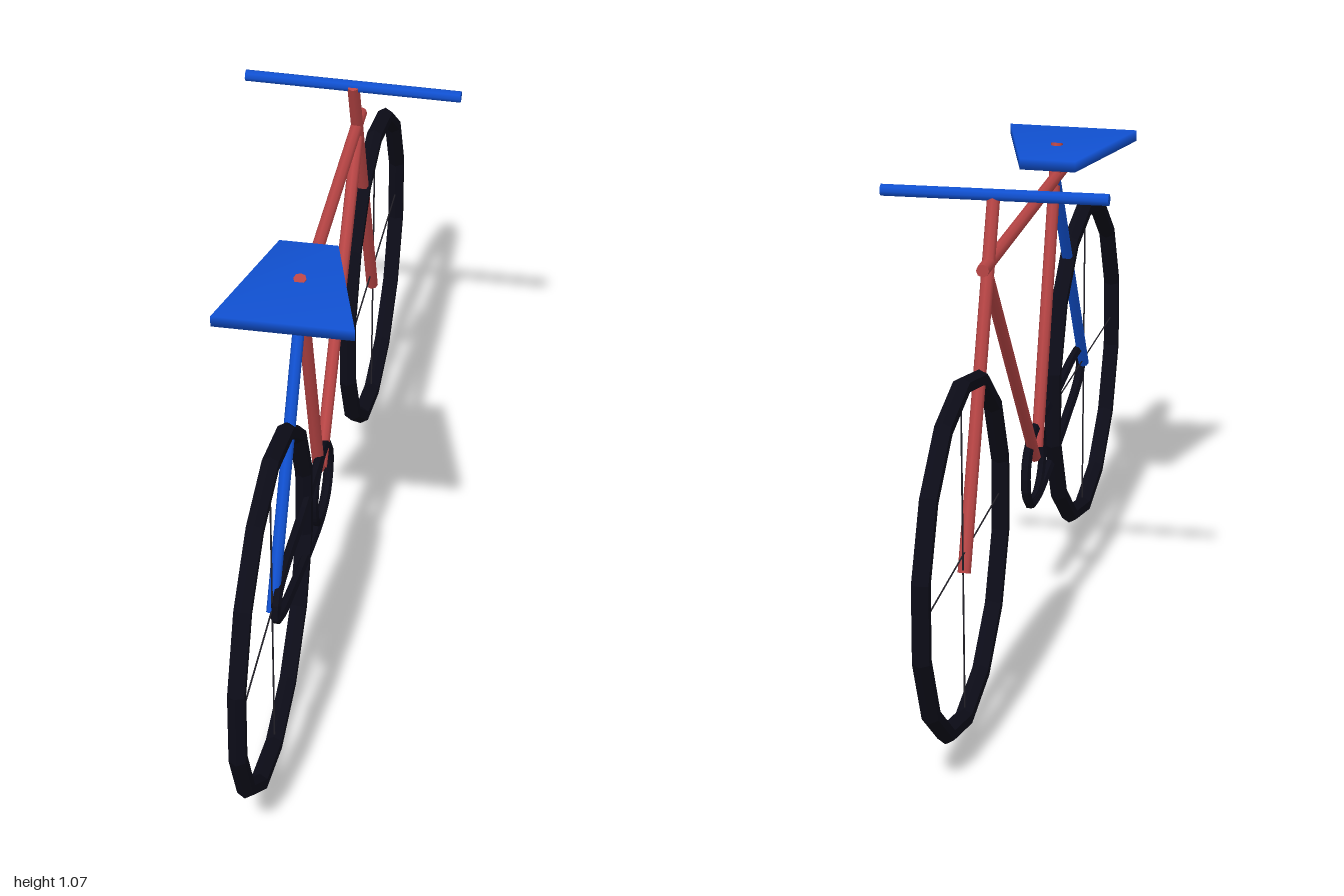
import * as THREE from 'three';
import { mergeVertices } from 'three/addons/utils/BufferGeometryUtils.js';

const red = new THREE.MeshStandardMaterial({ color: 0xb84545 });
const blue = new THREE.MeshStandardMaterial({ color: 0x1050d0 });
const black = new THREE.MeshStandardMaterial({ color: 0x0c0c18, flatShading: true });
const dark = new THREE.MeshStandardMaterial({ color: 0x24222a });

const V = (x, y, z) => new THREE.Vector3(x, y, z);

function part(name, geometry, material) {
  const mesh = new THREE.Mesh(geometry, material);
  mesh.name = name;
  return mesh;
}

// Straight bar between two points
function bar(name, a, b, radius, material, sides = 8) {
  const mesh = part(name, new THREE.CylinderGeometry(radius, radius, a.distanceTo(b), sides), material);
  mesh.position.copy(a).add(b).multiplyScalar(0.5);
  mesh.quaternion.setFromUnitVectors(V(0, 1, 0), b.clone().sub(a).normalize());
  return mesh;
}

// Fourteen-sided tyre with four hair-thin spokes
function wheel(name, y, z, radius, tilt) {
  const group = new THREE.Group();
  group.name = name;
  group.position.set(0, y, z);
  const tube = 0.0195;
  const tyre = new THREE.TorusGeometry(radius - tube, tube, 6, 14);
  tyre.rotateZ(Math.PI / 2).rotateY(Math.PI / 2);
  group.add(part('tyre', tyre, black));
  const reach = radius - tube;
  for (let i = 0; i < 4; i++) {
    const a = (i * Math.PI) / 2 + tilt;
    group.add(bar('spoke', V(0, 0, 0), V(0, Math.cos(a) * reach, Math.sin(a) * reach), 0.0018, dark, 4));
  }
  return group;
}

// Closed loop in the side plane from [z, y] points
function loop(name, points, x, radius) {
  const curve = new THREE.CatmullRomCurve3(points.map(([z, y]) => V(x, y, z)), true);
  return part(name, new THREE.TubeGeometry(curve, 48, radius, 6, true), black);
}

export function createModel() {
  const model = new THREE.Group();
  model.name = 'bicycle';

  model.add(wheel('rearWheel', 0.392, 0.622, 0.387, 0.02));
  model.add(wheel('frontWheel', 0.397, -0.63, 0.374, -0.02));

  // Frame
  model.add(bar('topTube', V(0, 0.924, 0.388), V(0, 0.93, -0.442), 0.0135, red));
  model.add(bar('seatTube', V(0.003, 0.995, 0.314), V(0.003, 0.36, 0.104), 0.0135, red));
  model.add(bar('downTube', V(0.003, 0.345, 0.08), V(0, 0.905, -0.396), 0.0135, red));
  model.add(bar('fork', V(0.001, 1.062, -0.33), V(0, 0.355, -0.62), 0.0135, red));
  model.add(bar('seatStay', V(0, 0.383, 0.622), V(0, 0.925, 0.28), 0.0125, blue));
  model.add(bar('handlebar', V(-0.235, 1.061, -0.337), V(0.233, 1.055, -0.337), 0.0125, blue));

  // Saddle: thin slab narrowing towards the handlebar, softly shaded
  let saddle = new THREE.BoxGeometry(1, 0.024, 0.29);
  const pos = saddle.attributes.position;
  for (let i = 0; i < pos.count; i++) {
    pos.setX(i, pos.getX(i) * (pos.getZ(i) > 0 ? 0.288 : 0.122));
  }
  saddle.deleteAttribute('normal');
  saddle.deleteAttribute('uv');
  saddle = mergeVertices(saddle);
  saddle.computeVertexNormals();
  const seat = part('saddle', saddle, blue);
  seat.position.set(-0.003, 0.98, 0.325);
  model.add(seat);

  // Chain and chainring
  model.add(loop('chain', [
    [0.628, 0.375], [0.61, 0.418], [0.53, 0.426], [0.36, 0.41], [0.2, 0.404], [0.08, 0.397],
    [0.02, 0.36], [0.008, 0.3], [0.04, 0.25], [0.11, 0.234], [0.25, 0.255], [0.46, 0.306], [0.59, 0.345],
  ], 0.008, 0.011));
  model.add(loop('chainring', [
    [0.19, 0.365], [0.15, 0.393], [0.07, 0.393], [0.022, 0.355],
    [0.014, 0.29], [0.06, 0.246], [0.14, 0.244], [0.187, 0.285],
  ], 0.01, 0.009));

  return model;
}
